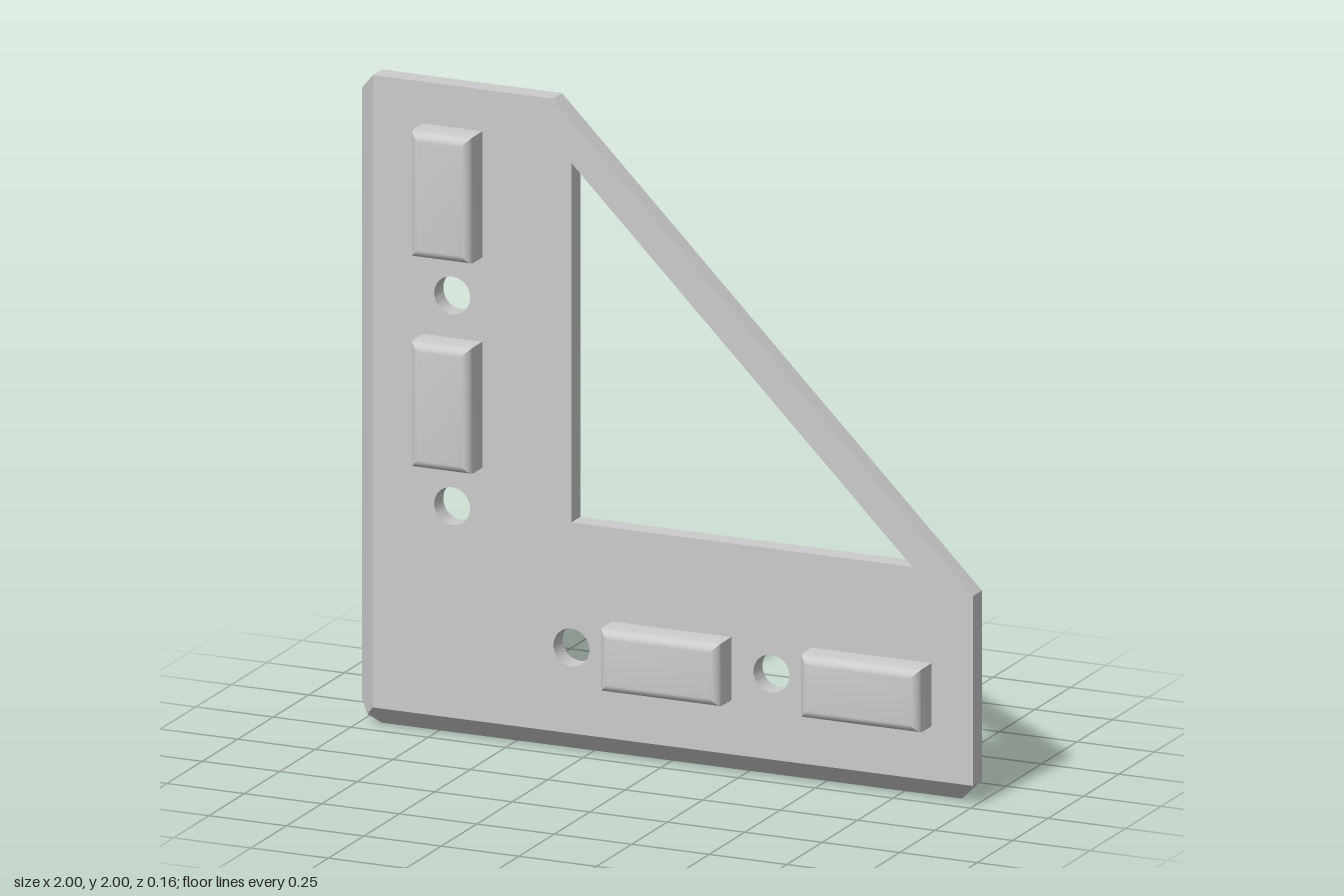
import * as THREE from 'three';
import { mergeGeometries, toCreasedNormals } from 'three/addons/utils/BufferGeometryUtils.js';

const BACK = -0.08, FRONT = -0.016, TOP = 0.08;
const C = FRONT - BACK; // 45 degree chamfer, as deep as the plate is thick
const material = new THREE.MeshStandardMaterial({ color: 0xcccccc });

// Flat polygons, corners counter-clockwise from outside, each cut into a fan
function fromPolygons(polygons) {
  const positions = [];
  for (const p of polygons) {
    for (let i = 1; i < p.length - 1; i++) positions.push(...p[0], ...p[i], ...p[i + 1]);
  }
  const geometry = new THREE.BufferGeometry();
  geometry.setAttribute('position', new THREE.Float32BufferAttribute(positions, 3));
  geometry.computeVertexNormals();
  return geometry;
}

function cap(outline, holes, z) {
  const shape = new THREE.Shape(outline.map(([x, y]) => new THREE.Vector2(x, y)));
  shape.holes = holes.map(h => new THREE.Path(h.map(([x, y]) => new THREE.Vector2(x, y))));
  const geometry = new THREE.ShapeGeometry(shape).toNonIndexed();
  geometry.deleteAttribute('uv');
  return geometry.translate(0, 0, z);
}

// Clockwise circle
function circle(x, y, r = 0.058, n = 40) {
  return Array.from({ length: n }, (_, i) => {
    const a = -i / n * Math.PI * 2;
    return [x + r * Math.cos(a), y + r * Math.sin(a)];
  });
}

function createPlate() {
  // Back outline: full size with three clipped corners
  const backOutline = [[-1 + C, 0], [1 - C, 0], [1, C], [1, 0.645], [-0.355, 2],
    [-1 + C, 2], [-1, 2 - C], [-1, C]];
  // Front outline: pulled in along the left and bottom edges
  const frontOutline = [[-1 + C, C], [1, C], [1, 0.645], [-0.355, 2], [-1 + C, 2]];
  const holes = [
    [[-0.295, 0.71], [-0.295, 1.81], [0.805, 0.71]],
    circle(-0.68, 1.357), circle(-0.68, 0.712),
    circle(-0.295, 0.327), circle(0.35, 0.327),
  ];

  // Outer walls, chamfers and clipped corners
  const [a, b, d, e, f, g, h, i] = backOutline.map(p => [...p, BACK]);
  const [A, D, E, F, G] = frontOutline.map(p => [...p, FRONT]);
  const m = [-1 + C / 2, C / 2, BACK + C / 2];
  const outer = [[a, b, D, A, m], [b, d, D], [d, e, E, D], [e, f, F, E],
    [f, g, G, F], [g, h, G], [h, i, m, A, G], [i, a, m]];

  // Walls of the window and the bolt holes
  const inner = [];
  for (const hole of holes) {
    hole.forEach((p, k) => {
      const q = hole[(k + 1) % hole.length];
      inner.push([[...p, BACK], [...q, BACK], [...q, FRONT], [...p, FRONT]]);
    });
  }

  // Back cap is the front-facing one with its triangles turned over
  const back = cap(backOutline, holes, 0);
  back.scale(1, 1, -1);
  const pos = back.attributes.position;
  for (let t = 0; t < pos.count; t += 3) {
    const [x, y] = [pos.getX(t), pos.getY(t)];
    pos.setXY(t, pos.getX(t + 1), pos.getY(t + 1));
    pos.setXY(t + 1, x, y);
  }
  back.translate(0, 0, BACK);
  back.computeVertexNormals();

  const walls = toCreasedNormals(fromPolygons(inner), 0.5);
  const geometry = mergeGeometries([cap(frontOutline, holes, FRONT), back, fromPolygons(outer), walls]);
  return new THREE.Mesh(geometry, material);
}

// Raised block with square corners and a rounded front rim, built from stacked rectangles
function createPad(w, h) {
  const r = 0.03, steps = 8;
  const ring = (inset, z) => {
    const x = w / 2 - inset, y = h / 2 - inset;
    return [[-x, -y, z], [x, -y, z], [x, y, z], [-x, y, z]];
  };
  const rings = [ring(0, FRONT)];
  for (let i = 0; i <= steps; i++) {
    const t = i / steps * Math.PI / 2;
    rings.push(ring(r * (1 - Math.cos(t)), TOP - r + r * Math.sin(t)));
  }
  const polygons = [rings[rings.length - 1]];
  for (let i = 0; i < rings.length - 1; i++) {
    for (let k = 0; k < 4; k++) {
      const n = (k + 1) % 4;
      polygons.push([rings[i][k], rings[i][n], rings[i + 1][n], rings[i + 1][k]]);
    }
  }
  return new THREE.Mesh(toCreasedNormals(fromPolygons(polygons), 0.4), material);
}

export function createModel() {
  const model = new THREE.Group();
  model.name = 'cornerBracket';

  const plate = createPlate();
  plate.name = 'plate';
  model.add(plate);

  // Two upright pads on the left arm, two lying pads on the bottom arm
  const pads = [
    ['upperPad', -0.679, 1.679, 0.193, 0.386],
    ['middlePad', -0.679, 1.035, 0.193, 0.386],
    ['innerLowerPad', 0.028, 0.327, 0.386, 0.193],
    ['outerLowerPad', 0.674, 0.327, 0.386, 0.193],
  ];
  for (const [name, x, y, w, h] of pads) {
    const pad = createPad(w, h);
    pad.name = name;
    pad.position.set(x, y, 0);
    model.add(pad);
  }
  return model;
}
